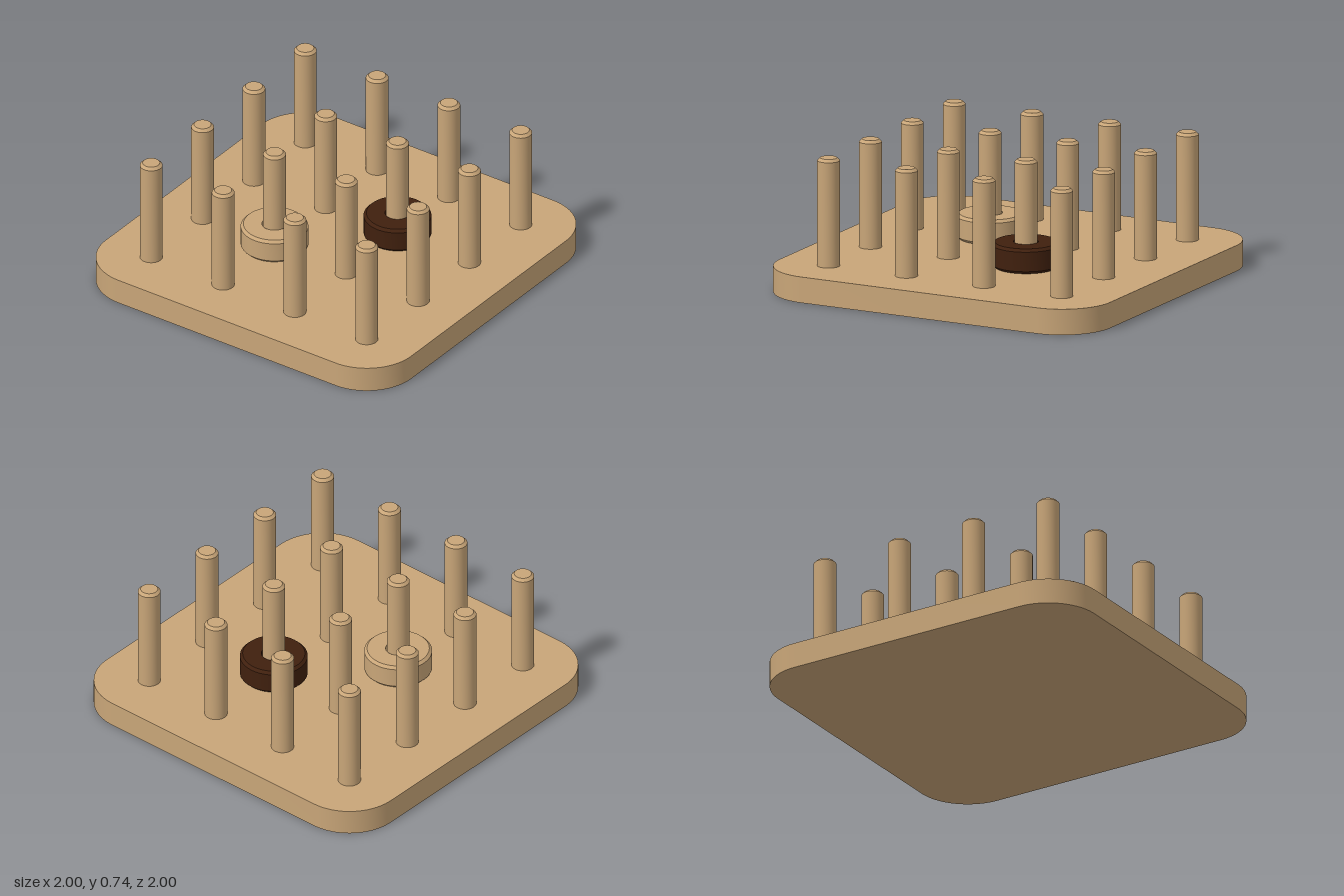
import * as THREE from 'three';
import { toCreasedNormals } from 'three/addons/utils/BufferGeometryUtils.js';

const BOARD_TOP = 0.142;

// Square board with rounded corners, extruded upwards
function boardGeometry(half, r, height) {
  const s = new THREE.Shape();
  const c = half - r;
  s.absarc(c, c, r, 0, Math.PI / 2);
  s.absarc(-c, c, r, Math.PI / 2, Math.PI);
  s.absarc(-c, -c, r, Math.PI, Math.PI * 1.5);
  s.absarc(c, -c, r, Math.PI * 1.5, Math.PI * 2);
  s.closePath();
  const g = new THREE.ExtrudeGeometry(s, { depth: height, bevelEnabled: false, curveSegments: 12 });
  g.rotateX(-Math.PI / 2);
  return toCreasedNormals(g, 0.5);
}

// Turned part with crisp chamfers
function turned(profile, segments) {
  const points = profile.map(([x, y]) => new THREE.Vector2(x, y));
  return toCreasedNormals(new THREE.LatheGeometry(points, segments), 0.5);
}

export function createModel() {
  const group = new THREE.Group();
  const lightWood = new THREE.MeshStandardMaterial({ name: 'light wood', color: 0xc8a578 });
  const darkWood = new THREE.MeshStandardMaterial({ name: 'dark wood', color: 0x40200e });

  const add = (name, geometry, material, x, y, z) => {
    const mesh = new THREE.Mesh(geometry, material);
    mesh.name = name;
    mesh.position.set(x, y, z);
    group.add(mesh);
  };

  add('board', boardGeometry(1, 0.29, BOARD_TOP), lightWood, 0, 0, 0);

  // Four by four grid of chamfered pegs
  const peg = turned([[0, -0.01], [0.061, -0.01], [0.061, 0.578], [0.046, 0.593], [0, 0.593]], 32);
  const spots = [-0.706, -0.235, 0.235, 0.706];
  for (const x of spots) for (const z of spots) add('peg', peg, lightWood, x, BOARD_TOP, z);

  // Ring beads threaded on two of the pegs
  const bead = turned([
    [0.067, 0.003], [0.166, 0.003], [0.181, 0.018], [0.181, 0.125],
    [0.166, 0.14], [0.067, 0.14], [0.067, 0.003],
  ], 48);
  add('lightBead', bead, lightWood, -0.235, BOARD_TOP, 0.235);
  add('darkBead', bead, darkWood, 0.235, BOARD_TOP, -0.235);

  return group;
}
